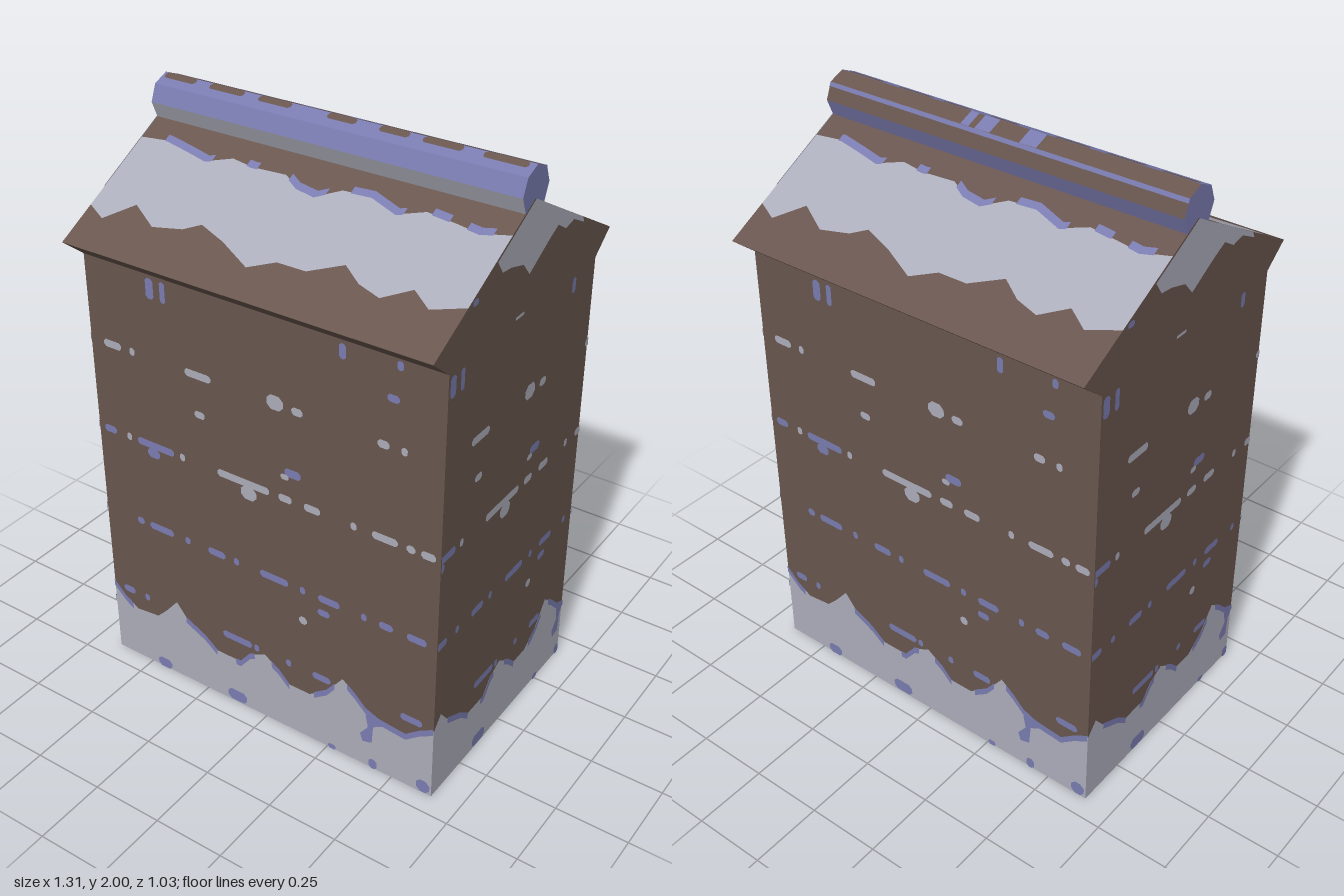
import * as THREE from 'three';

const flat = (name, color) => {
  const m = new THREE.MeshStandardMaterial({ color, side: THREE.DoubleSide });
  m.name = name;
  return m;
};
const brown = flat('brown wood', 0x69564f);
const snow = flat('pale snow', 0xacadba);
const violet = flat('violet shade', 0x7a7cb1);

const HX = 0.65, HZ = 0.43, EAVE_Z = 0.515, EAVE_Y = 1.62, WALL_Y = 1.55, APEX = 1.9, SKIN = 0.003;

// Snow drift line at the foot of each wall: [u, y]
const drift = [[-0.65, 0.29], [-0.6, 0.24], [-0.55, 0.21], [-0.46, 0.22], [-0.42, 0.26], [-0.37, 0.32],
  [-0.33, 0.27], [-0.25, 0.23], [-0.2, 0.19], [-0.1, 0.19], [-0.06, 0.24], [0, 0.27], [0.06, 0.23],
  [0.1, 0.19], [0.18, 0.19], [0.25, 0.24], [0.31, 0.32], [0.36, 0.28], [0.4, 0.24], [0.45, 0.22],
  [0.55, 0.21], [0.6, 0.25], [0.65, 0.28]];
const driftRims = [[-0.65, -0.57], [-0.33, -0.2], [-0.12, -0.04], [0.03, 0.1], [0.2, 0.28], [0.33, 0.65]];

// Rows of frost flecks along the plank joints: height, material, [u, width] pairs
const rows = [
  [1.26, snow, [[-0.56, 0.07], [-0.48, 0.02], [-0.22, 0.1], [0.15, 0.04], [0.45, 0.04], [0.52, 0.02]]],
  [0.935, snow, [[-0.52, 0.02], [-0.3, 0.02], [-0.06, 0.2], [0.1, 0.05], [0.2, 0.06], [0.35, 0.02],
    [0.46, 0.09], [0.55, 0.03], [0.61, 0.05]]],
  [0.935, violet, [[-0.6, 0.05], [-0.41, 0.15]]],
  [0.61, violet, [[-0.5, 0.03], [-0.41, 0.1], [-0.3, 0.02], [-0.18, 0.07], [-0.1, 0.02], [0.05, 0.11],
    [0.16, 0.02], [0.26, 0.08], [0.39, 0.02], [0.47, 0.05], [0.58, 0.07]]],
  [0.285, violet, [[-0.58, 0.05], [-0.5, 0.02], [-0.11, 0.12], [-0.03, 0.02], [0.1, 0.02], [0.23, 0.07], [0.57, 0.08]]],
];
// Loose flecks: u, y, width, height
const looseSnow = [[0.07, 1.265, 0.06, 0.05], [-0.22, 1.12, 0.04, 0.025], [0.1, 1.015, 0.03, 0.02],
  [-0.04, 0.9, 0.06, 0.05], [0.16, 0.49, 0.03, 0.03], [-0.03, 1.56, 0.05, 0.01]];
const looseViolet = [[-0.39, 1.505, 0.03, 0.07], [-0.34, 1.505, 0.02, 0.07], [0.31, 1.515, 0.022, 0.05],
  [0.5, 1.53, 0.02, 0.03], [0.48, 1.42, 0.04, 0.025], [0.13, 1.035, 0.06, 0.03], [-0.42, 0.905, 0.05, 0.035],
  [0.24, 0.555, 0.045, 0.025], [-0.44, 0.02, 0.06, 0.04], [-0.12, 0.03, 0.08, 0.045], [0.27, 0.01, 0.03, 0.02],
  [0.43, 0.02, 0.03, 0.04], [0.62, 0.03, 0.05, 0.05]];
const drip = [[0.48, 0.21], [0.43, 0.18], [0.425, 0.11], [0.39, 0.1], [0.38, 0.13], [0.41, 0.17], [0.4, 0.22]];

// Flat polygon in the panel's own plane
function face(panel, name, points, material, lift = 0) {
  const shape = new THREE.Shape(points.map(([u, v]) => new THREE.Vector2(u, v)));
  const mesh = new THREE.Mesh(new THREE.ShapeGeometry(shape), material);
  mesh.name = name;
  mesh.position.z = lift;
  panel.add(mesh);
}
const rect = (u, v, w, h) => [[u - w / 2, v - h / 2], [u + w / 2, v - h / 2], [u + w / 2, v + h / 2], [u - w / 2, v + h / 2]];
const fleck = (u, v, w, h) => {
  const c = Math.min(w, h) * 0.3, x = w / 2, y = h / 2;
  return [[-x + c, -y], [x - c, -y], [x, -y + c], [x, y - c], [x - c, y], [-x + c, y], [-x, y - c], [-x, -y + c]]
    .map(([a, b]) => [u + a, v + b]);
};

// Part of a polyline between two u values, with interpolated ends
function cut(line, a, b) {
  const at = (u) => {
    const i = Math.max(1, line.findIndex((p) => p[0] >= u - 1e-6));
    const [p, q] = [line[i - 1], line[i]];
    return [u, p[1] + (q[1] - p[1]) * (u - p[0]) / (q[0] - p[0])];
  };
  return [at(a), ...line.filter((p) => p[0] > a + 1e-6 && p[0] < b - 1e-6), at(b)];
}
const between = (low, high) => [...low, ...[...high].reverse()];
const raise = (line, d) => line.map(([u, v]) => [u, v + d]);

function panelAt(parent, name, position, rx = 0, ry = 0) {
  const g = new THREE.Group();
  g.name = name;
  g.position.set(...position);
  g.rotation.set(rx, ry, 0);
  parent.add(g);
  return g;
}

// Wall with snow drift and flecks on both its faces
function wall(parent, name, position, ry, half, top, shift) {
  const p = panelAt(parent, name, position, 0, ry);
  const line = cut(drift, -half - shift, half - shift).map(([u, v]) => [u + shift, v]);
  line[0][0] = -half;
  line[line.length - 1][0] = half;
  face(p, 'planks', between(line, top), brown);
  face(p, 'snowDrift', between([[-half, 0], [half, 0]], line), snow);
  for (const lift of [SKIN, -SKIN]) {
    const put = (label, pts, mat) => {
      const clipped = pts.map(([u, v]) => [THREE.MathUtils.clamp(u + shift, -half, half), Math.max(v, 0)]);
      const us = clipped.map((q) => q[0]);
      if (Math.max(...us) - Math.min(...us) > 0.004) face(p, label, clipped, mat, lift);
    };
    for (const [a, b] of driftRims) {
      const part = cut(drift, a, b).filter(([u]) => Math.abs(u + shift) <= half + 0.02);
      if (part.length > 1) put('driftRim', between(raise(part, -0.018), raise(part, 0.007)), violet);
    }
    put('drip', drip, violet);
    for (const [y, mat, list] of rows) for (const [u, w] of list) put('jointFrost', fleck(u, y, w, 0.027), mat);
    for (const f of looseSnow) put('snowFleck', fleck(...f), snow);
    for (const f of looseViolet) put('shadeFleck', fleck(...f), violet);
  }
  return p;
}

// Roof snow edges: [x, distance from ridge in z]
const snowLow = [[-0.65, 0.38], [-0.58, 0.41], [-0.5, 0.34], [-0.4, 0.39], [-0.3, 0.37], [-0.25, 0.34], [-0.15, 0.37],
  [-0.03, 0.42], [0.05, 0.38], [0.15, 0.38], [0.25, 0.33], [0.32, 0.37], [0.4, 0.39], [0.48, 0.34], [0.55, 0.38], [0.65, 0.345]];
const snowHigh = [[-0.65, 0.13], [-0.55, 0.12], [-0.46, 0.135], [-0.38, 0.15], [-0.3, 0.12], [-0.22, 0.13], [-0.1, 0.125],
  [-0.04, 0.155], [0.03, 0.165], [0.1, 0.125], [0.2, 0.12], [0.3, 0.15], [0.38, 0.12], [0.48, 0.13], [0.56, 0.14], [0.65, 0.12]];
const roofRims = [[-0.56, -0.36], [-0.24, -0.2], [-0.08, 0.06], [0.13, 0.32], [0.4, 0.46], [0.52, 0.6]];

function roofSlope(parent, name, ry) {
  const side = panelAt(parent, name, [0, APEX, 0], 0, ry);
  const angle = Math.atan2(APEX - EAVE_Y, EAVE_Z);
  const p = panelAt(side, 'slope', [0, 0, 0], angle - Math.PI / 2);
  const along = (line) => line.map(([x, z]) => [x, -z / Math.cos(angle)]);
  const low = along(snowLow), high = along(snowHigh);
  const edge = (z) => along([[-HX, z], [HX, z]]);
  face(p, 'eaveBoards', between(edge(EAVE_Z), low), brown);
  face(p, 'roofSnow', between(low, high), snow);
  face(p, 'ridgeBoards', between(high, edge(0)), brown);
  for (const [a, b] of roofRims) {
    const part = cut(high, a, b);
    face(p, 'snowRim', between(raise(part, -0.006), raise(part, 0.02)), violet, SKIN);
  }
  // Underside of the overhang
  const dz = EAVE_Z - HZ, dy = EAVE_Y - WALL_Y;
  const soffit = panelAt(side, 'soffit', [0, (EAVE_Y + WALL_Y) / 2 - APEX, (EAVE_Z + HZ) / 2], Math.atan2(dz, dy));
  face(soffit, 'soffitBoard', rect(0, 0, HX * 2, Math.hypot(dz, dy)), brown);
}

// Eight-sided ridge beam
function ridgeBeam(parent) {
  const R = 0.075, w = 2 * R * Math.sin(Math.PI / 8), d = R * Math.cos(Math.PI / 8);
  const beam = panelAt(parent, 'ridgeBeam', [0, 2 - R, 0]);
  const mats = [violet, violet, brown, brown, violet, brown, brown, snow];
  mats.forEach((mat, k) => {
    const t = (k + 0.5) * Math.PI / 4;
    const p = panelAt(beam, 'beamFacet', [0, d * Math.sin(t), d * Math.cos(t)], -t);
    face(p, 'facet', rect(0, 0, HX * 2, w), mat);
    if (k === 1) { // worn patches along the crest
      for (const [u, len] of [[-0.58, 0.12], [-0.4, 0.13], [-0.22, 0.12], [0.02, 0.1], [0.2, 0.1], [0.36, 0.13], [0.56, 0.14]])
        face(p, 'wornPatch', fleck(u, w * 0.28, len, w * 0.44), brown, 0.001);
    }
    if (k === 2) for (const [u, len] of [[-0.11, 0.06], [0.055, 0.055], [0.12, 0.03]])
      face(p, 'shadePatch', rect(u, 0, len, w), violet, 0.001);
    if (k === 3) face(p, 'shadeStripe', rect(0, -w * 0.38, HX * 2, w * 0.24), violet, 0.001);
  });
  for (const s of [-1, 1]) {
    const cap = new THREE.Mesh(new THREE.CircleGeometry(R, 8), violet);
    cap.name = 'beamEnd';
    cap.position.x = s * HX;
    cap.rotation.y = s * Math.PI / 2;
    beam.add(cap);
  }
}

export function createModel() {
  const model = new THREE.Group();
  model.name = 'snowyHut';

  const flatTop = [[-HX, WALL_Y], [HX, WALL_Y]];
  wall(model, 'frontWall', [0, 0, HZ], 0, HX, flatTop, 0);
  wall(model, 'backWall', [0, 0, -HZ], Math.PI, HX, flatTop, 0);

  // End walls run up into the gable, with a snow cap under the apex
  const gable = [[-HZ, WALL_Y], [-EAVE_Z, EAVE_Y], [0, APEX], [EAVE_Z, EAVE_Y], [HZ, WALL_Y]];
  const cap = [[0, APEX], [-0.2, 1.788], [-0.17, 1.745], [-0.12, 1.74], [-0.05, 1.72], [-0.01, 1.675], [0.04, 1.705],
    [0.1, 1.74], [0.15, 1.765], [0.2, 1.735], [0.25, 1.745], [0.32, 1.71], [0.31, 1.731]];
  for (const [name, s] of [['leftWall', 1], ['rightWall', -1]]) {
    const p = wall(model, name, [s * HX, 0, 0], s * Math.PI / 2, HZ, gable, -0.02);
    face(p, 'gableSnow', cap, snow, SKIN);
    face(p, 'gableShade', fleck(-0.31, 1.715, 0.03, 0.02), violet, SKIN);
  }

  roofSlope(model, 'frontRoof', 0);
  roofSlope(model, 'backRoof', Math.PI);
  ridgeBeam(model);
  return model;
}
